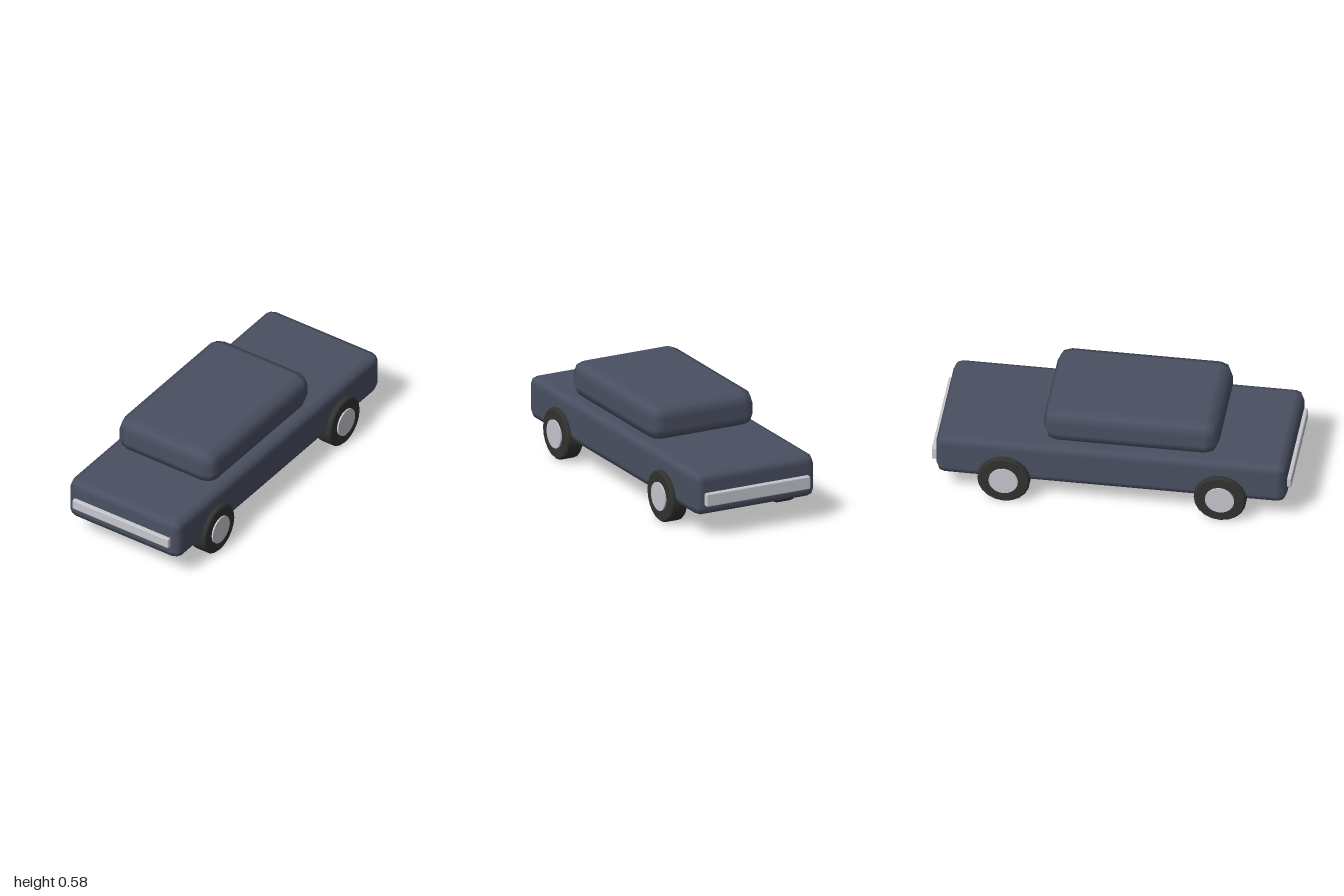
import * as THREE from 'three';
import { toCreasedNormals } from 'three/addons/utils/BufferGeometryUtils.js';
import { RoundedBoxGeometry } from 'three/addons/geometries/RoundedBoxGeometry.js';

const material = (name, color) => {
  const m = new THREE.MeshStandardMaterial({ color });
  m.name = name;
  return m;
};

export function createModel() {
  const paint = material('slate paint', 0x4a5062);
  const rubber = material('black rubber', 0x323231);
  const chrome = material('chrome', 0xc6c7ce);
  const car = new THREE.Group();
  car.name = 'car';

  const add = (parent, name, geometry, mat, x = 0, y = 0, z = 0) => {
    const mesh = new THREE.Mesh(geometry, mat);
    mesh.name = name;
    mesh.position.set(x, y, z);
    parent.add(mesh);
    return mesh;
  };

  // Lower body and cabin, both with two-step rounded edges
  add(car, 'body', new RoundedBoxGeometry(0.75, 0.25, 1.95, 1, 0.05), paint, 0, 0.255, 0.002);
  add(car, 'cabin', new RoundedBoxGeometry(0.656, 0.212, 0.975, 1, 0.075), paint, 0, 0.475, 0.103);

  // Bumper bars, half sunk into the body ends
  add(car, 'frontBumper', new RoundedBoxGeometry(0.646, 0.062, 0.06, 1, 0.008), chrome, 0, 0.245, 0.97);
  add(car, 'rearBumper', new RoundedBoxGeometry(0.65, 0.076, 0.06, 1, 0.008), chrome, 0, 0.23, -0.97);

  // Tyre with chamfered shoulders, turned around its axle
  const r = 0.146, half = 0.051, bevel = 0.009;
  const profile = [
    [0, -half], [r - bevel, -half], [r, bevel - half],
    [r, half - bevel], [r - bevel, half], [0, half],
  ].map(([x, y]) => new THREE.Vector2(x, y));
  const tyre = toCreasedNormals(new THREE.LatheGeometry(profile, 20), 0.5);
  tyre.rotateZ(-Math.PI / 2);
  const hub = new THREE.CylinderGeometry(0.081, 0.081, 0.04, 28);
  hub.rotateZ(-Math.PI / 2);

  // Four wheels with hubcaps on the outer side
  for (const [end, z] of [['front', 0.613], ['rear', -0.59]]) {
    for (const [side, s] of [['Left', 1], ['Right', -1]]) {
      const wheel = new THREE.Group();
      wheel.name = `${end}${side}Wheel`;
      wheel.position.set(s * 0.35, 0.147, z);
      add(wheel, 'tyre', tyre, rubber);
      add(wheel, 'hubcap', hub, chrome, s * 0.04);
      car.add(wheel);
    }
  }
  return car;
}
